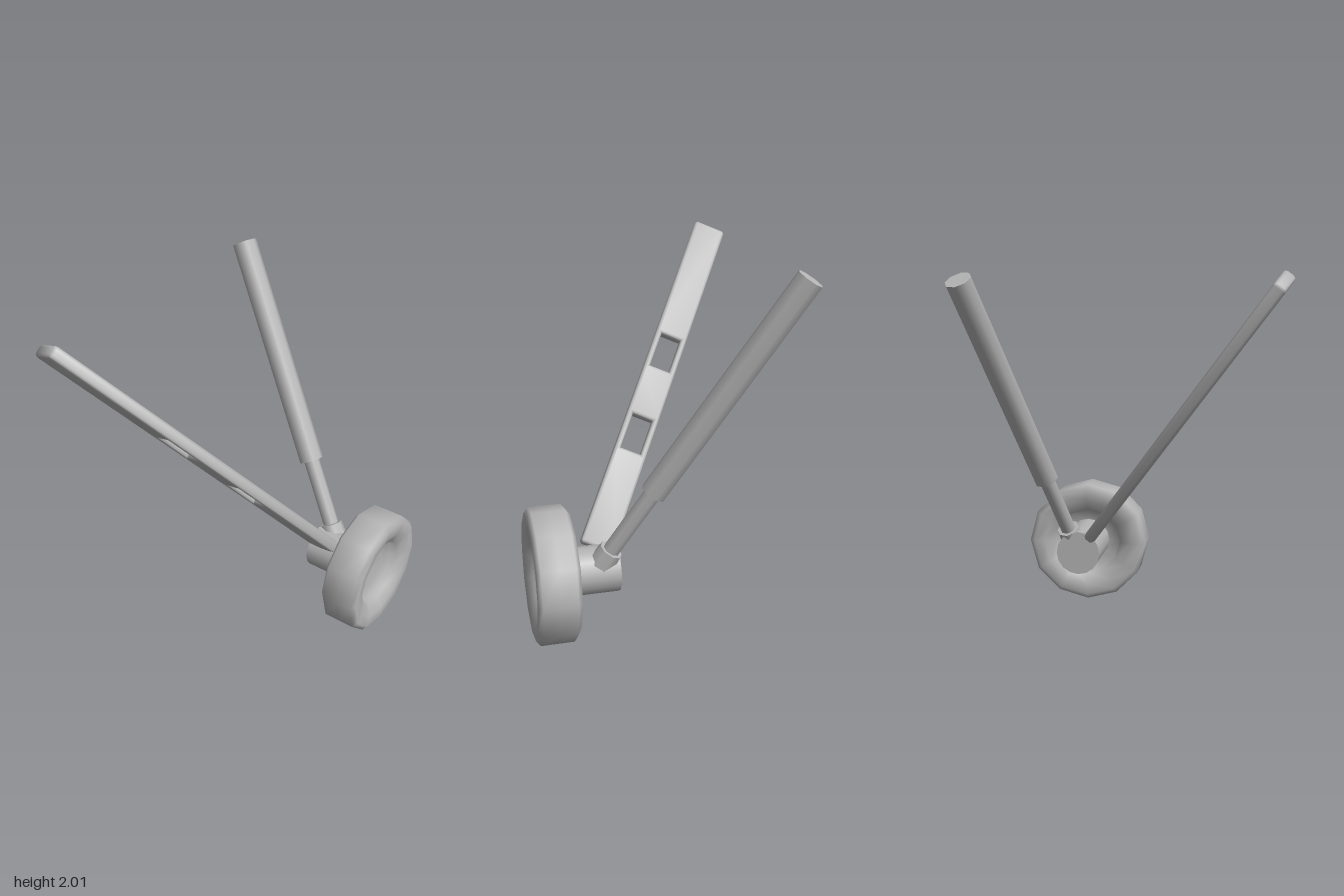
import * as THREE from 'three';
import { toCreasedNormals } from 'three/addons/utils/BufferGeometryUtils.js';

const V = (x, y, z) => new THREE.Vector3(x, y, z);

export function createModel() {
  const group = new THREE.Group();
  const grey = new THREE.MeshStandardMaterial({ color: 0xb4b4b4 });
  grey.name = 'grey metal';

  const add = (name, geometry) => {
    const mesh = new THREE.Mesh(geometry, grey);
    mesh.name = name;
    group.add(mesh);
    return mesh;
  };

  // Cylinder running from point a to point b
  const rod = (name, a, b, ra, rb, sides) => {
    const mesh = add(name, new THREE.CylinderGeometry(rb, ra, a.distanceTo(b), sides));
    mesh.position.copy(a).lerp(b, 0.5);
    mesh.quaternion.setFromUnitVectors(V(0, 1, 0), b.clone().sub(a).normalize());
    return mesh;
  };

  // Wheel: twelve-sided tyre with a dished hub on both faces
  const half = [[0.365, 0], [0.365, 0.09], [0.335, 0.113], [0.27, 0.108], [0.205, 0.075],
    [0.19, 0.04], [0.12, 0.02], [0, 0.012]];
  const back = half.slice(1).reverse().map(([r, h]) => new THREE.Vector2(r, -h));
  const front = half.map(([r, h]) => new THREE.Vector2(r, h));
  const wheel = add('wheel', new THREE.LatheGeometry([...back, ...front], 12));
  wheel.rotation.z = -Math.PI / 2;
  wheel.position.set(0.587, 0.367, -0.375);

  // Axle
  rod('axle', V(0.23, 0.368, -0.38), V(0.585, 0.368, -0.38), 0.13, 0.13, 16);

  // Telescopic strut: thick sleeve, thin piston and flared foot
  const top = V(-0.61, 1.966, -0.78);
  const foot = V(0.305, 0.455, -0.435);
  const along = (t) => foot.clone().lerp(top, t);
  rod('strutSleeve', along(0.26), top, 0.07, 0.07, 8);
  rod('strutPiston', foot, along(0.28), 0.046, 0.046, 8);
  rod('strutFoot', along(-0.02), along(0.035), 0.075, 0.066, 8);

  // Flat drag brace with two rectangular openings
  const start = V(0.33, 0.455, -0.315);
  const end = V(-0.62, 1.965, 0.8);
  const length = start.distanceTo(end);
  const axis = end.clone().sub(start).normalize();
  const wide = V(1, 0, 0).addScaledVector(axis, -axis.x).normalize();
  const w = 0.094, c = 0.012;
  const outline = new THREE.Shape([[-w + c, 0], [w - c, 0], [w, c], [w, length - c],
    [w - c, length], [-w + c, length], [-w, length - c], [-w, c]]
    .map(([x, y]) => new THREE.Vector2(x, y)));
  for (const t of [0.325, 0.575]) {
    const y = t * length, hw = 0.058, hl = 0.105;
    outline.holes.push(new THREE.Path([[-hw, y - hl], [-hw, y + hl], [hw, y + hl], [hw, y - hl]]
      .map(([px, py]) => new THREE.Vector2(px, py))));
  }
  const bevel = 0.018, thickness = 0.07;
  const plate = new THREE.ExtrudeGeometry(outline, {
    depth: thickness - 2 * bevel, bevelEnabled: true, bevelThickness: bevel,
    bevelSize: bevel, bevelOffset: -bevel, bevelSegments: 2,
  });
  plate.translate(0, 0, bevel - thickness / 2);
  const brace = add('dragBrace', toCreasedNormals(plate, 0.9));
  const normal = wide.clone().cross(axis);
  brace.quaternion.setFromRotationMatrix(new THREE.Matrix4().makeBasis(wide, axis, normal));
  brace.position.copy(start);

  return group;
}
